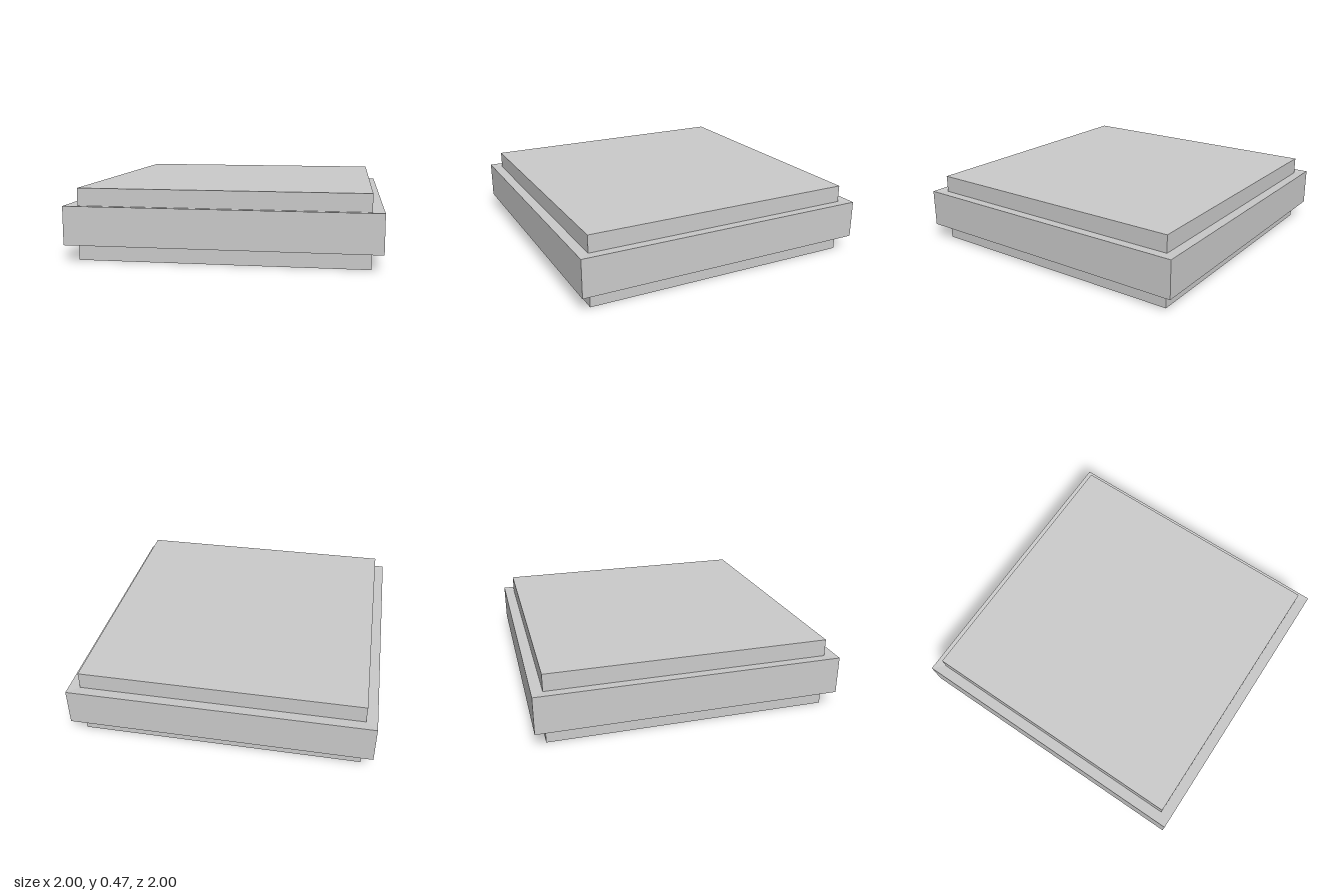
import * as THREE from 'three';

const HEIGHT = 0.467;
const CORE = 0.928; // half width of the inner slab
const DIP = 0.006; // how far the ledges sink towards the slab

// Square ring or solid swept from [half width, y] points, bottom to top
function squareSweep(profile) {
  const points = profile.map(([r, y]) => new THREE.Vector2(r * Math.SQRT2, y));
  const swept = new THREE.LatheGeometry(points, 4, Math.PI / 4);
  const geometry = swept.toNonIndexed();
  geometry.computeVertexNormals();
  return geometry;
}

export function createModel() {
  const group = new THREE.Group();
  group.name = 'steppedSlab';
  const material = new THREE.MeshStandardMaterial({ color: 0xcccccc, flatShading: true });

  // Inner slab, showing above and below the band
  const slab = new THREE.Mesh(new THREE.BoxGeometry(2 * CORE, HEIGHT, 2 * CORE), material);
  slab.name = 'innerSlab';
  slab.position.y = HEIGHT / 2;
  group.add(slab);

  // Wider band around the middle, its ledges dipping slightly inwards
  const low = 0.108;
  const high = HEIGHT - low;
  const band = new THREE.Mesh(
    squareSweep([[CORE, low + DIP], [1, low], [1, high], [CORE, high - DIP]]),
    material
  );
  band.name = 'outerBand';
  group.add(band);

  return group;
}
